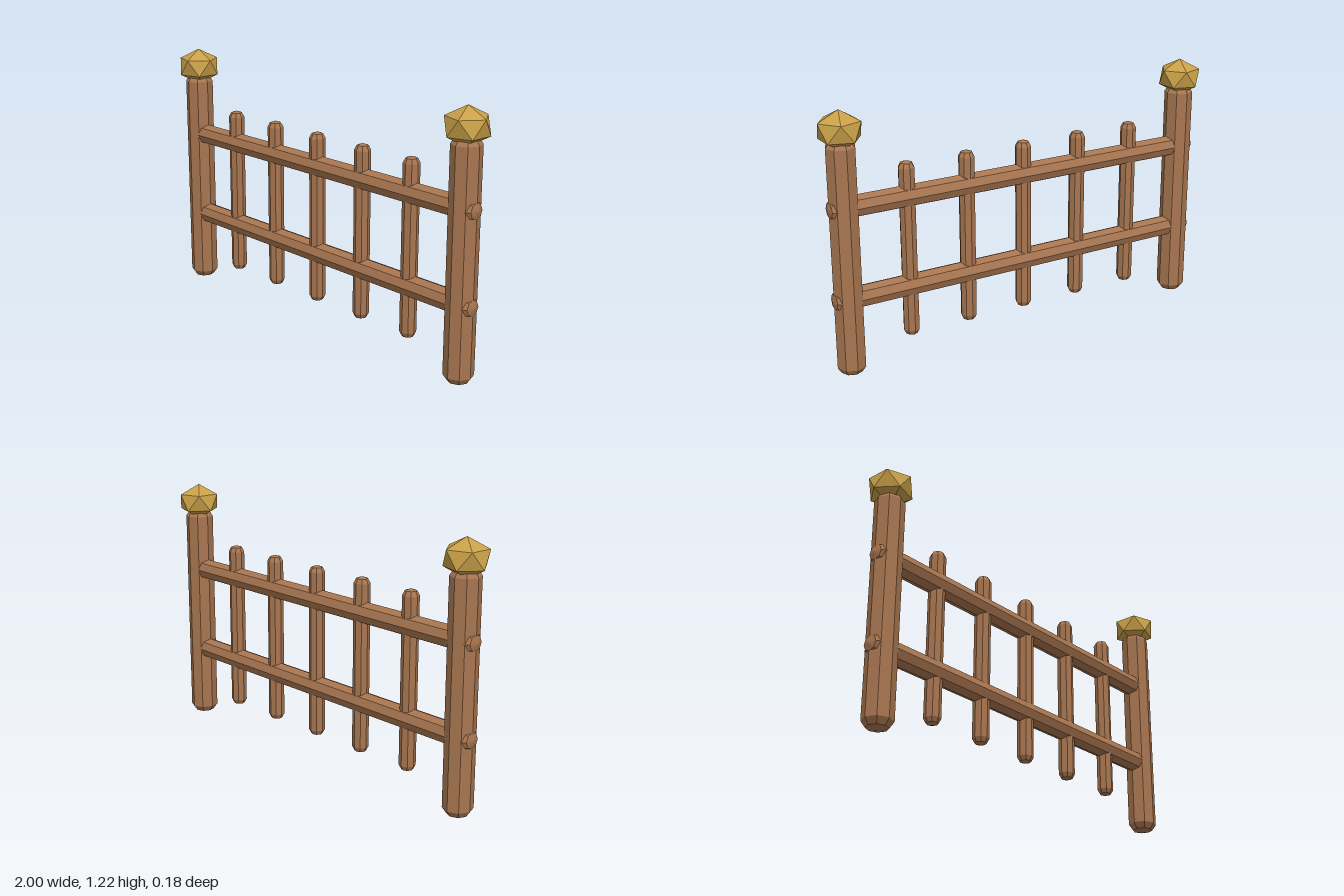
import * as THREE from 'three';

const wood = new THREE.MeshStandardMaterial({ color: 0xa87650 });
wood.name = 'wood';
const gold = new THREE.MeshStandardMaterial({ color: 0xc9a048 });
gold.name = 'gold';

// Eight-sided bar with blunt faceted ends, running along y and centred on the origin
function barGeometry(radius, length, cap) {
  const h = length / 2;
  const c = Math.SQRT1_2;
  const profile = [
    [0, -h], [radius * c, -h + cap * (1 - c)], [radius, -h + cap],
    [radius, h - cap], [radius * c, h - cap * (1 - c)], [0, h],
  ].map(([x, y]) => new THREE.Vector2(x, y));
  const geometry = new THREE.LatheGeometry(profile, 8).toNonIndexed();
  geometry.computeVertexNormals();
  return geometry;
}

// Squashed icosahedron standing on one corner
function finialGeometry(radius, squash) {
  const geometry = new THREE.IcosahedronGeometry(radius, 0);
  geometry.rotateZ(-Math.atan2(2, 1 + Math.sqrt(5)));
  geometry.scale(1, squash, 1);
  geometry.computeVertexNormals();
  return geometry;
}

export function createModel() {
  const group = new THREE.Group();
  group.name = 'fence';

  const add = (name, geometry, material, x, y) => {
    const mesh = new THREE.Mesh(geometry, material);
    mesh.name = name;
    mesh.position.set(x, y, 0);
    group.add(mesh);
    return mesh;
  };

  // End posts with gold finials
  const post = barGeometry(0.068, 1.1, 0.04);
  const finial = finialGeometry(0.108, 0.815);
  for (const [side, x] of [['left', 0.903], ['right', -0.903]]) {
    add(side + 'Post', post, wood, x, 0.55);
    add(side + 'Finial', finial, gold, x, 1.134);
  }

  // Horizontal rails, their ends poking through the posts
  const rail = barGeometry(0.051, 1.955, 0.03).rotateZ(Math.PI / 2);
  add('lowerRail', rail, wood, 0, 0.363);
  add('upperRail', rail, wood, 0, 0.787);

  // Upright pickets
  const picket = barGeometry(0.038, 0.835, 0.03);
  for (let i = -2; i <= 2; i++) add('picket' + (i + 3), picket, wood, i * 0.3, 0.533);

  return group;
}
